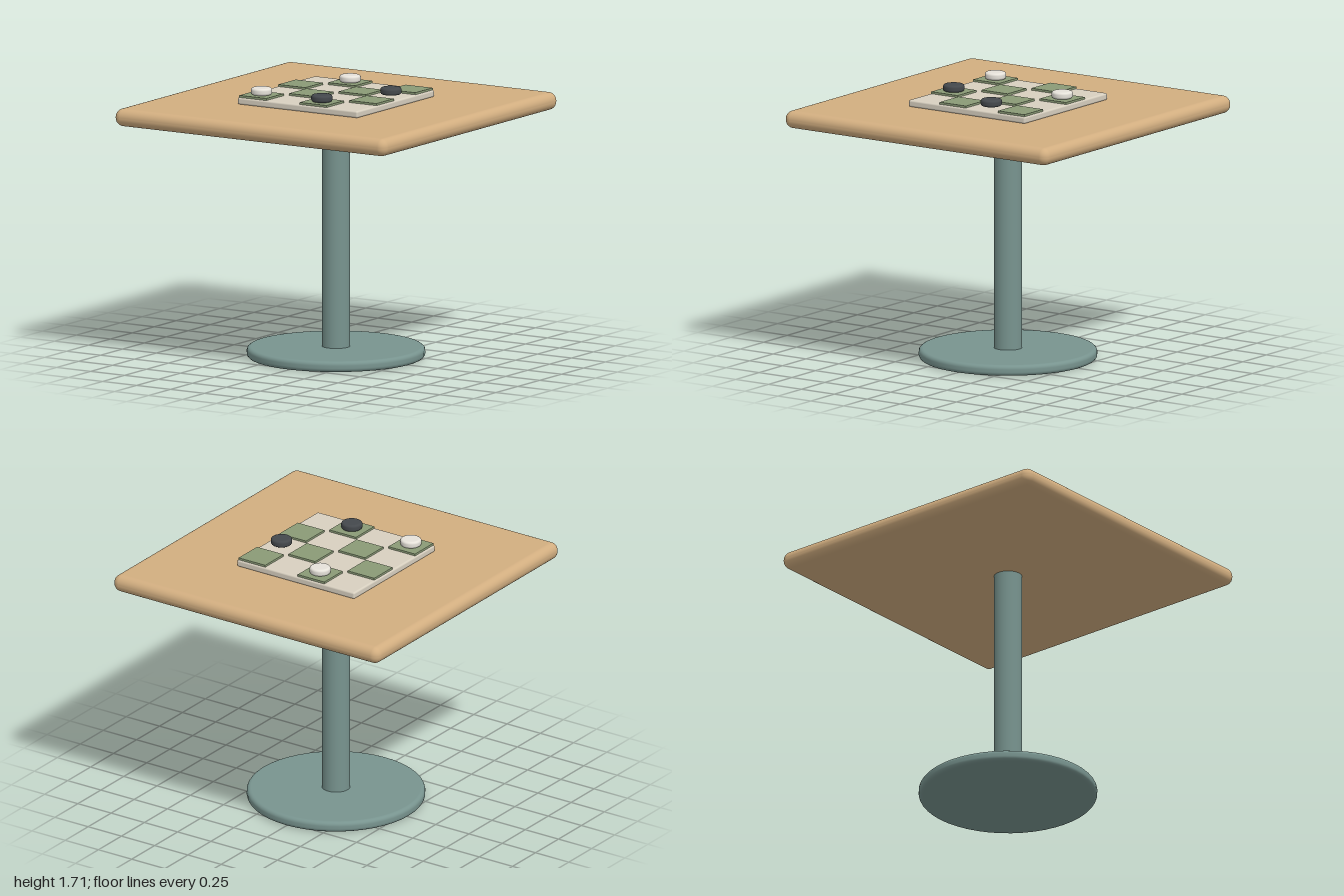
import * as THREE from 'three';
import { RoundedBoxGeometry } from 'three/addons/geometries/RoundedBoxGeometry.js';

const mat = (color) => new THREE.MeshStandardMaterial({ color });

// Round slab with softened rims, from y = 0 to y = h
function discGeometry(radius, h, bevel, segments) {
  const points = [new THREE.Vector2(0, 0), new THREE.Vector2(radius - bevel - 0.002, 0)];
  const steps = 5;
  for (const [cy, start] of [[bevel, -Math.PI / 2], [h - bevel, 0]]) {
    for (let i = 0; i <= steps; i++) {
      const a = start + (i / steps) * Math.PI / 2;
      points.push(new THREE.Vector2(radius - bevel + Math.cos(a) * bevel, cy + Math.sin(a) * bevel));
    }
  }
  points.push(new THREE.Vector2(radius - bevel - 0.002, h), new THREE.Vector2(0, h));
  return new THREE.LatheGeometry(points, segments);
}

export function createModel() {
  const group = new THREE.Group();
  const metal = mat(0x78948f);
  const wood = mat(0xd2ae80);
  const cream = mat(0xd8d0c0);
  const green = mat(0x8a9a76);
  const white = mat(0xe6e2da);
  const dark = mat(0x44484c);

  const add = (name, geometry, material, x, y, z, parent = group) => {
    const mesh = new THREE.Mesh(geometry, material);
    mesh.name = name;
    mesh.position.set(x, y, z);
    parent.add(mesh);
    return mesh;
  };

  // Pedestal
  add('base', discGeometry(0.553, 0.067, 0.025, 48), metal, 0, 0, 0);
  add('column', new THREE.CylinderGeometry(0.088, 0.088, 1.47, 32), metal, 0, 0.785, 0);

  // Square top with fully rounded rim
  add('tabletop', new RoundedBoxGeometry(2, 0.11, 2, 6, 0.052), wood, 0, 1.557, 0);

  // Game board with raised squares on alternating cells
  const board = new THREE.Group();
  board.name = 'gameBoard';
  group.add(board);
  add('boardSlab', new RoundedBoxGeometry(0.884, 0.044, 0.884, 3, 0.012), cream, 0, 1.632, 0, board);

  const pitch = 0.222;
  const cell = (i) => (i - 1.5) * pitch;
  const tile = new THREE.BoxGeometry(0.2, 0.018, 0.2);
  for (let row = 0; row < 4; row++) {
    for (let col = 0; col < 4; col++) {
      if ((row + col) % 2) add('greenSquare', tile, green, cell(col), 1.658, cell(row), board);
    }
  }

  // Playing pieces: column, row, material
  const piece = discGeometry(0.066, 0.044, 0.015, 32);
  for (const [col, row, material] of [[1, 0, white], [3, 1, dark], [0, 3, white], [2, 3, dark]]) {
    add('playingPiece', piece, material, cell(col), 1.667, cell(row));
  }
  return group;
}
